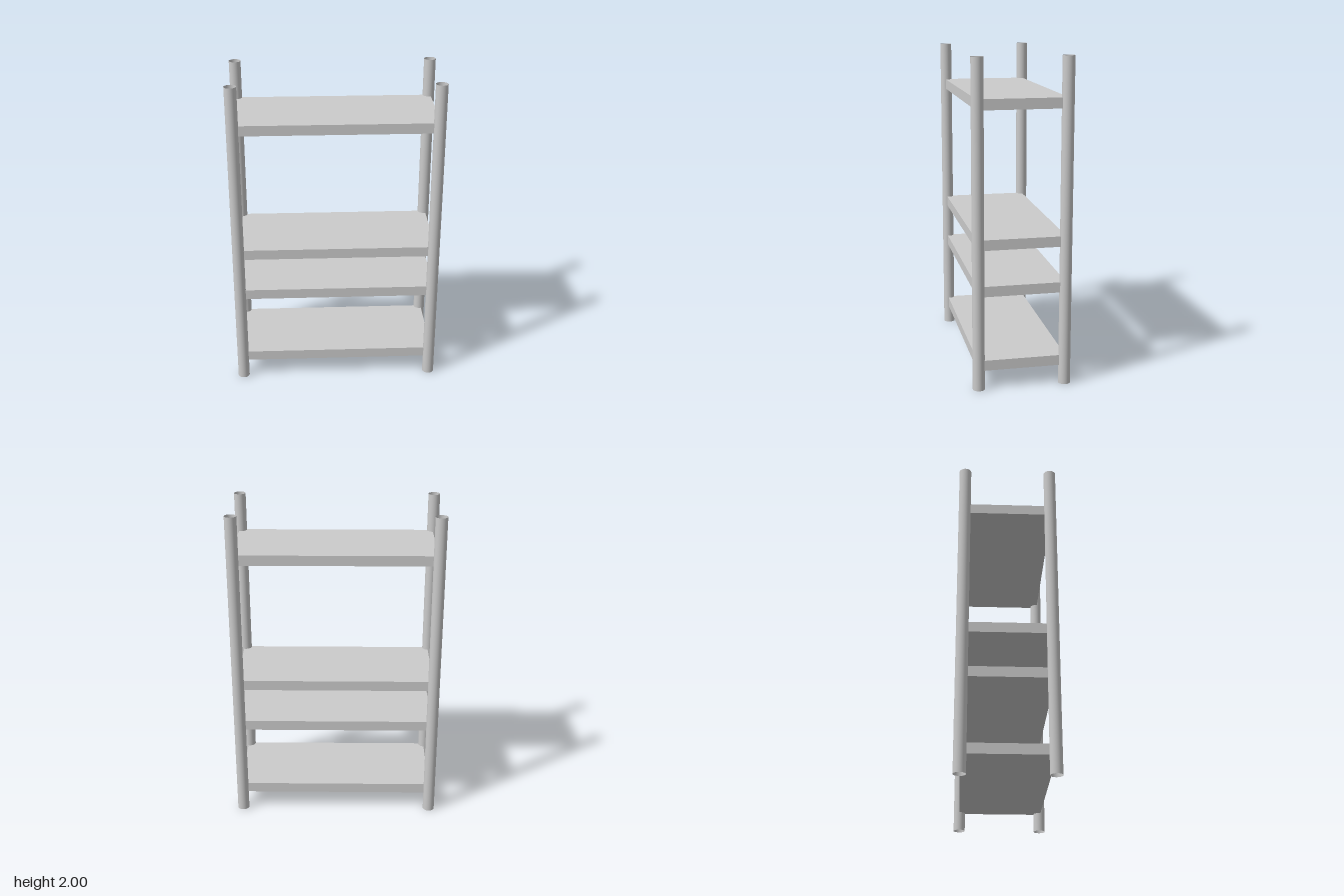
import * as THREE from 'three';

export function createModel() {
  const group = new THREE.Group();
  const material = new THREE.MeshStandardMaterial({ color: 0xcccccc });
  const tubeMaterial = new THREE.MeshStandardMaterial({ color: 0xcccccc, side: THREE.DoubleSide });

  // Four open-ended tubular corner posts
  const radius = 0.037;
  const postGeometry = new THREE.CylinderGeometry(radius, radius, 2, 32, 1, true);
  for (const [xName, x] of [['Left', 0.617], ['Right', -0.617]]) {
    for (const [zName, z] of [['front', 0.267], ['back', -0.267]]) {
      const post = new THREE.Mesh(postGeometry, tubeMaterial);
      post.name = `${zName}${xName}Post`;
      post.position.set(x, 1, z);
      group.add(post);
    }
  }

  // Four flat shelves, their corners running into the posts
  const shelfGeometry = new THREE.BoxGeometry(1.242, 0.064, 0.543);
  [0.151, 0.617, 0.902, 1.728].forEach((y, i) => {
    const shelf = new THREE.Mesh(shelfGeometry, material);
    shelf.name = `shelf${i + 1}`;
    shelf.position.set(0.007, y, 0.003);
    group.add(shelf);
  });

  return group;
}
